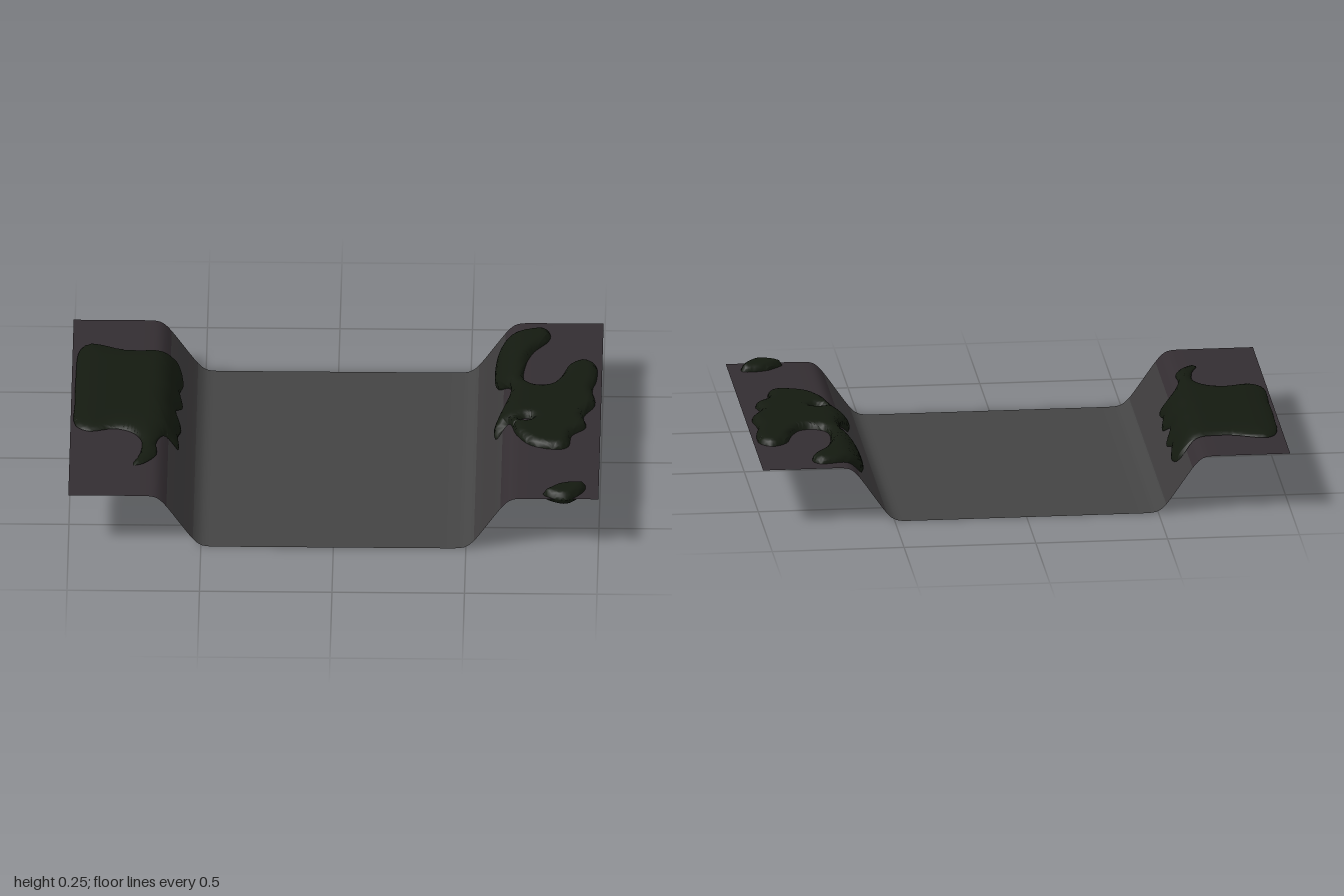
import * as THREE from 'three';
import { mergeVertices } from 'three/addons/utils/BufferGeometryUtils.js';

const BANK_Y = 0.218, TOE = 0.51, LIP = 0.66, ROUND = 0.013;
const Z_BACK = -0.673, Z_FRONT = 0.66;

// Height of the ditch cross-section: a ramp with rounded toe and lip
const soft = (t) => Math.log(1 + Math.exp(t));
function height(x) {
  const a = Math.abs(x);
  return BANK_Y * ROUND / (LIP - TOE) * (soft((a - TOE) / ROUND) - soft((a - LIP) / ROUND));
}

// Point at an offset along the surface normal
function onSurface(x, z, offset) {
  const slope = (height(x + 1e-3) - height(x - 1e-3)) / 2e-3;
  const k = offset / Math.hypot(slope, 1);
  return [x - slope * k, height(x) + k, z];
}

// A lengthwise band of the ground sheet between two x values
function band(name, x0, x1, segments, material) {
  const geo = new THREE.PlaneGeometry(1, 1, segments, 1).rotateX(-Math.PI / 2);
  const p = geo.attributes.position, n = geo.attributes.normal;
  for (let i = 0; i < p.count; i++) {
    const x = x0 + (p.getX(i) + 0.5) * (x1 - x0);
    const z = p.getZ(i) < 0 ? Z_BACK : Z_FRONT;
    const base = onSurface(x, z, 0), tip = onSurface(x, z, 1);
    p.setXYZ(i, ...base);
    n.setXYZ(i, tip[0] - base[0], tip[1] - base[1], 0);
  }
  const mesh = new THREE.Mesh(geo, material);
  mesh.name = name;
  return mesh;
}

// Split triangles across their longest edge until all edges are short
function refine(tris, limit) {
  const done = [], stack = [...tris];
  while (stack.length) {
    const t = stack.pop();
    const len = [0, 1, 2].map((i) => t[i].distanceTo(t[(i + 1) % 3]));
    const k = len.indexOf(Math.max(...len));
    if (len[k] <= limit) { done.push(t); continue; }
    const a = t[k], b = t[(k + 1) % 3], c = t[(k + 2) % 3];
    const m = a.clone().add(b).multiplyScalar(0.5);
    stack.push([a, m, c], [m, b, c]);
  }
  return done;
}

// Moss pad with a rounded rim, draped over the ground from an [x, z] outline
function mossPatch(name, outline, { thick, rim, lift = 0, underside, hole, material }) {
  const curve = new THREE.CatmullRomCurve3(
    outline.map(([x, z]) => new THREE.Vector3(x, z, 0)), true);
  const loops = [curve.getPoints(outline.length * 4).slice(0, -1)];
  const shape = new THREE.Shape(loops[0].map((v) => new THREE.Vector2(v.x, v.y)));
  if (hole) {
    const path = new THREE.Path().absellipse(hole[0], hole[1], hole[2], hole[3], 0, Math.PI * 2);
    const pts = path.getPoints(16).slice(0, -1);
    shape.holes.push(new THREE.Path(pts));
    loops.push(pts.map((v) => new THREE.Vector3(v.x, v.y, 0)));
  }
  const edges = loops.flatMap((l) => l.map((v, i) => new THREE.Line3(v, l[(i + 1) % l.length])));
  const near = new THREE.Vector3();
  const swell = (v) => {
    let d = rim;
    for (const e of edges) d = Math.min(d, e.closestPointToPoint(v, true, near).distanceTo(v));
    return Math.sqrt(Math.max(0, 1 - (1 - d / rim) ** 2));
  };

  const flat = new THREE.ShapeGeometry(shape);
  const idx = flat.index.array, fp = flat.attributes.position, tris = [];
  for (let i = 0; i < idx.length; i += 3) {
    tris.push([0, 1, 2].map((j) => new THREE.Vector3().fromBufferAttribute(fp, idx[i + j])));
  }
  const pos = [];
  for (const t of refine(tris, 0.018)) {
    const s = t.map((v) => swell(v) * thick);
    for (const j of [0, 2, 1]) pos.push(...onSurface(t[j].x, t[j].y, lift + s[j]));
    if (underside) for (const j of [0, 1, 2]) pos.push(...onSurface(t[j].x, t[j].y, lift - s[j]));
  }
  let geo = new THREE.BufferGeometry();
  geo.setAttribute('position', new THREE.Float32BufferAttribute(pos, 3));
  geo = mergeVertices(geo, 1e-5);
  geo.computeVertexNormals();
  const mesh = new THREE.Mesh(geo, material);
  mesh.name = name;
  return mesh;
}

export function createModel() {
  const group = new THREE.Group();
  group.name = 'mossyDitch';
  const sheet = (color) => new THREE.MeshStandardMaterial({ color, side: THREE.DoubleSide });
  const bankMat = sheet(0x332d31), slopeMat = sheet(0x3c3a3b), bedMat = sheet(0x444444);
  const moss = sheet(0x141a10);

  // Ground sheet: flat bed, two slopes, two banks
  group.add(band('ditchBed', -0.53, 0.53, 60, bedMat));
  for (const [side, s] of [['left', 1], ['right', -1]]) {
    const span = (a, b) => (s > 0 ? [a, b] : [-b, -a]);
    group.add(band(side + 'Slope', ...span(0.53, 0.63), 12, slopeMat));
    group.add(band(side + 'Bank', ...span(0.63, 1), 32, bankMat));
  }

  // Thin moss on the right bank, with a trailing tongue
  group.add(mossPatch('rightMoss', [
    [-0.93, -0.48], [-0.97, -0.44], [-0.985, -0.24], [-0.985, -0.05], [-0.98, 0.14],
    [-0.93, 0.18], [-0.835, 0.16], [-0.77, 0.185], [-0.73, 0.25], [-0.735, 0.35],
    [-0.76, 0.435], [-0.72, 0.42], [-0.675, 0.35], [-0.675, 0.25], [-0.64, 0.16],
    [-0.598, 0.155], [-0.6, 0.07], [-0.588, -0.02], [-0.61, -0.1], [-0.585, -0.19],
    [-0.597, -0.265], [-0.585, -0.37], [-0.61, -0.465], [-0.675, -0.44], [-0.8, -0.435],
  ], { thick: 0.022, rim: 0.12, lift: 0.004, material: moss }));

  // Thick moss on the left bank, with a small hole
  group.add(mossPatch('leftMoss', [
    [0.775, -0.615], [0.8, -0.585], [0.795, -0.535], [0.74, -0.45], [0.71, -0.345],
    [0.71, -0.225], [0.755, -0.185], [0.81, -0.195], [0.85, -0.265], [0.877, -0.345],
    [0.93, -0.38], [0.975, -0.345], [0.98, -0.24], [0.965, -0.16], [0.977, -0.05],
    [0.935, 0.04], [0.945, 0.12], [0.893, 0.18], [0.88, 0.265], [0.845, 0.285],
    [0.74, 0.255], [0.685, 0.175], [0.65, 0.06], [0.61, 0.08], [0.603, 0.03],
    [0.645, -0.08], [0.66, -0.185], [0.61, -0.29], [0.6, -0.4], [0.618, -0.53],
    [0.675, -0.59],
  ], { thick: 0.027, rim: 0.035, underside: true, hole: [0.717, 0.067, 0.023, 0.017], material: moss }));

  // Small moss clump hanging over the front edge
  group.add(mossPatch('edgeMoss', [
    [0.79, 0.625], [0.815, 0.595], [0.86, 0.56], [0.945, 0.555], [0.95, 0.585],
    [0.915, 0.645], [0.88, 0.67], [0.83, 0.658],
  ], { thick: 0.027, rim: 0.03, underside: true, material: moss }));

  return group;
}
